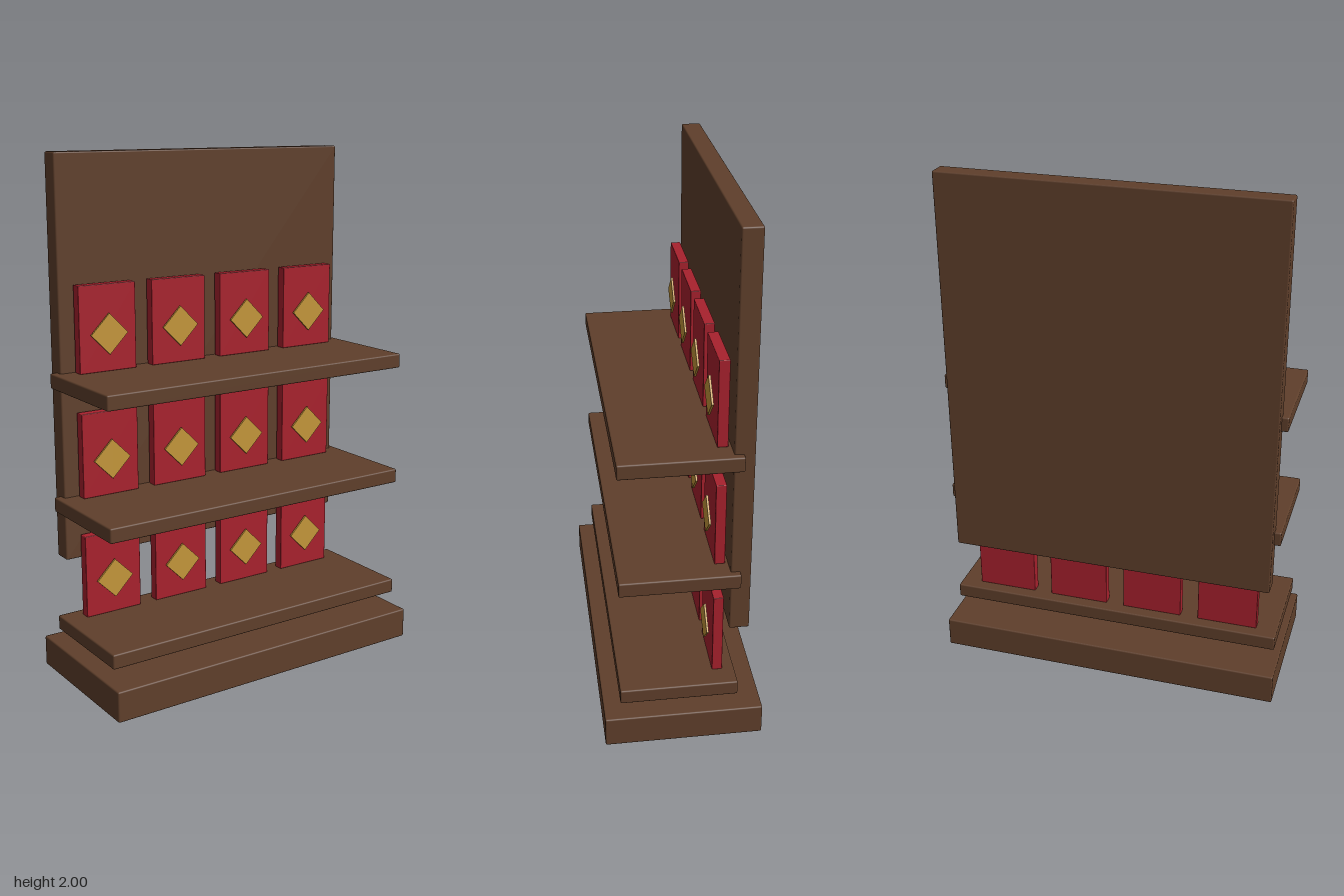
import * as THREE from 'three';
import { RoundedBoxGeometry } from 'three/addons/geometries/RoundedBoxGeometry.js';

const wood = new THREE.MeshStandardMaterial({ name: 'brown wood', color: 0x5f3f2b });
const red = new THREE.MeshStandardMaterial({ name: 'red card', color: 0xa8212d });
const gold = new THREE.MeshStandardMaterial({ name: 'gold', color: 0xc4963a });

// Softly edged slab given by its extents on each axis
function slab(name, material, [x0, x1], [y0, y1], [z0, z1], radius = 0.006) {
  const geometry = new RoundedBoxGeometry(x1 - x0, y1 - y0, z1 - z0, 2, radius);
  const mesh = new THREE.Mesh(geometry, material);
  mesh.position.set((x0 + x1) / 2, (y0 + y1) / 2, (z0 + z1) / 2);
  mesh.name = name;
  return mesh;
}

export function createModel() {
  const model = new THREE.Group();
  model.name = 'displayStand';

  // Plinth and back panel
  model.add(slab('base', wood, [-0.68, 0.68], [0, 0.12], [-0.298, 0.298]));
  model.add(slab('backPanel', wood, [-0.638, 0.638], [0.468, 2], [-0.242, -0.168]));

  // Three shelves, each with a row of four boxes
  const diamondGeometry = new THREE.BoxGeometry(0.109, 0.109, 0.008);
  for (let row = 0; row < 3; row++) {
    const y = 0.18 + row * 0.48;
    const tier = new THREE.Group();
    tier.name = `tier${row + 1}`;
    tier.add(slab('shelf', wood, [-0.664, 0.664], [y, y + 0.057], [-0.203, 0.238]));

    for (let col = 0; col < 4; col++) {
      const x = (col - 1.5) * 0.3085;
      tier.add(slab('box', red, [x - 0.119, x + 0.119], [y + 0.057, y + 0.385], [-0.157, -0.118], 0.003));

      // Diamond plate on the front of the box
      const diamond = new THREE.Mesh(diamondGeometry, gold);
      diamond.name = 'diamond';
      diamond.position.set(x, y + 0.2, -0.107);
      diamond.rotation.z = Math.PI / 4;
      tier.add(diamond);
    }
    model.add(tier);
  }
  return model;
}
